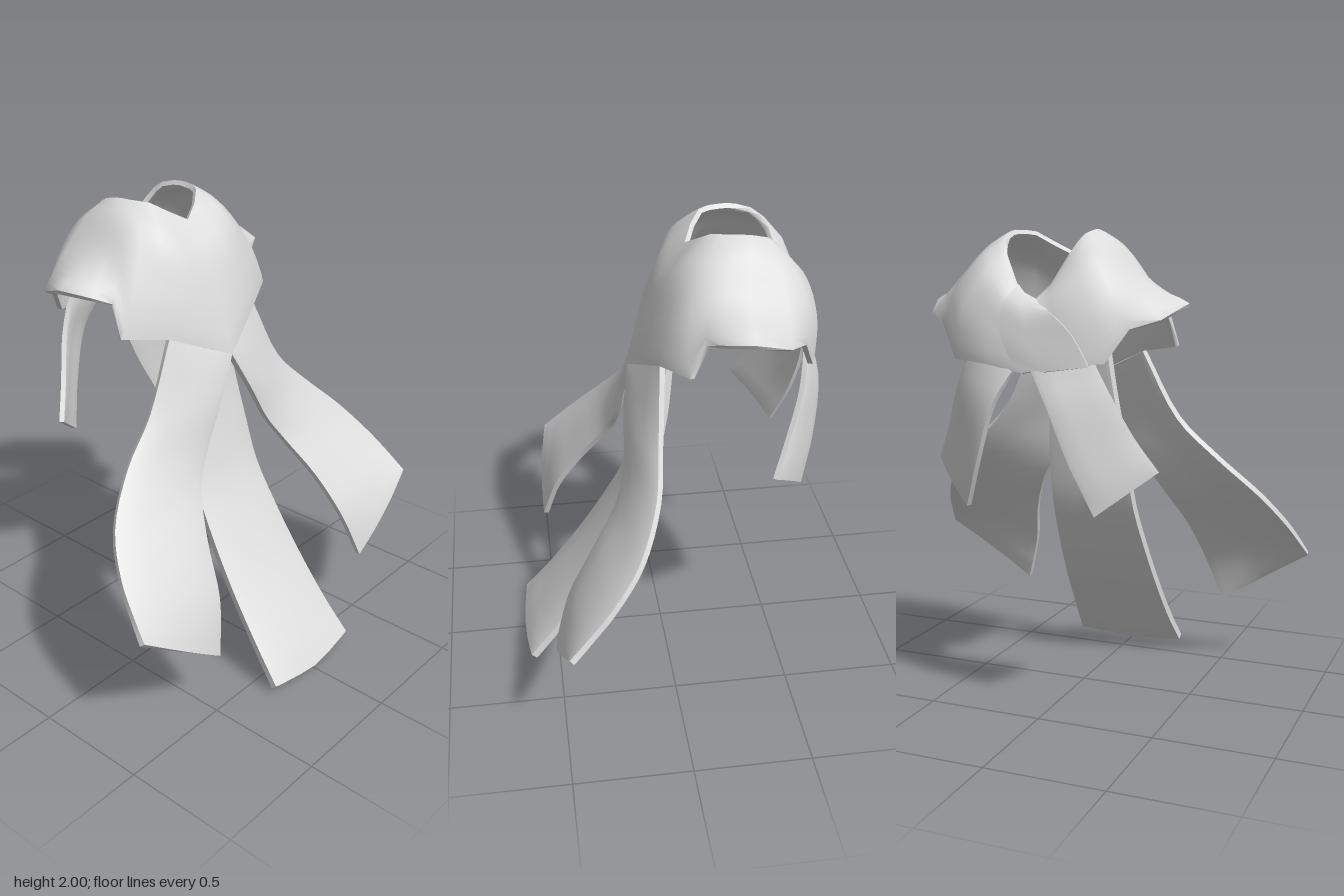
import * as THREE from 'three';
import { toCreasedNormals } from 'three/addons/utils/BufferGeometryUtils.js';

const V = (p) => new THREE.Vector3(...p);
const mirrorPoint = ([x, y, z]) => [-x, y, z];

// Resample every column of a grid of points (rows run downward) with a smooth curve.
function smoothRows(rows, count) {
  const columns = rows[0].map((_, j) =>
    new THREE.CatmullRomCurve3(rows.map((r) => V(r[j])), false, 'centripetal').getPoints(count));
  return Array.from({ length: count + 1 }, (_, i) => columns.map((c) => c[i]));
}

// Solid cloth: outer face through the grid, inner face set back, edges thinned to look rounded.
function cloth(grid, thickness, closed = false) {
  const R = grid.length, C = grid[0].length, pos = [], inner = [], index = [];
  const at = (i, j) => grid[THREE.MathUtils.clamp(i, 0, R - 1)][
    closed ? (j + C - 1) % (C - 1) : THREE.MathUtils.clamp(j, 0, C - 1)];
  for (let i = 0; i < R; i++) {
    for (let j = 0; j < C; j++) {
      const p = at(i, j);
      const n = at(i + 1, j).clone().sub(at(i - 1, j))
        .cross(at(i, j + 1).clone().sub(at(i, j - 1))).normalize();
      const onEdge = i === 0 || i === R - 1 || (!closed && (j === 0 || j === C - 1));
      const inset = onEdge ? 0.15 * thickness : 0;
      pos.push(...p.clone().addScaledVector(n, -inset));
      inner.push(...p.clone().addScaledVector(n, inset - thickness));
    }
  }
  const N = R * C, id = (i, j) => i * C + j;
  for (let i = 0; i < R - 1; i++) {
    for (let j = 0; j < C - 1; j++) {
      const a = id(i, j), b = id(i + 1, j), c = id(i + 1, j + 1), d = id(i, j + 1);
      index.push(a, b, c, a, c, d, N + a, N + c, N + b, N + a, N + d, N + c);
    }
  }
  const rim = (p, q) => index.push(q, p, N + p, q, N + p, N + q);
  for (let j = 0; j < C - 1; j++) {
    rim(id(R - 1, j), id(R - 1, j + 1));
    rim(id(0, j + 1), id(0, j));
  }
  if (!closed) {
    for (let i = 0; i < R - 1; i++) {
      rim(id(i, 0), id(i + 1, 0));
      rim(id(i + 1, C - 1), id(i, C - 1));
    }
  }
  const g = new THREE.BufferGeometry();
  g.setAttribute('position', new THREE.Float32BufferAttribute(pos.concat(inner), 3));
  g.setIndex(index);
  return toCreasedNormals(g, 1.2);
}

// Fill a row between two edge points, with the middle pushed by a small bulge in z.
const span = (a, b, bulge) => [0, 0.08, 0.3, 0.5, 0.7, 0.92, 1].map((t) => {
  const p = V(a).lerp(V(b), t);
  return [p.x, p.y, p.z + bulge * 4 * t * (1 - t)];
});
const mirrorRows = (rows) => rows.map((r) => r.map(mirrorPoint).reverse());

// Half collar from centre front to centre back; each section runs from neck to hem.
const collarSections = [
  [[0, 1.91, -0.095], [0, 1.77, 0.01], [0, 1.58, 0.085], [0, 1.38, 0.15]],
  [[0.08, 1.955, -0.13], [0.11, 1.81, -0.01], [0.13, 1.62, 0.06], [0.135, 1.44, 0.1]],
  [[0.14, 1.995, -0.175], [0.2, 1.88, -0.06], [0.24, 1.67, 0.01], [0.27, 1.5, 0.045]],
  [[0.165, 2, -0.22], [0.25, 1.91, -0.13], [0.36, 1.72, -0.06], [0.45, 1.53, -0.05]],
  [[0.175, 2, -0.26], [0.255, 1.93, -0.18], [0.36, 1.78, -0.14], [0.43, 1.66, -0.11]],
  [[0.18, 2, -0.3], [0.255, 1.945, -0.24], [0.37, 1.8, -0.2], [0.51, 1.7, -0.15]],
  [[0.18, 1.995, -0.34], [0.255, 1.945, -0.31], [0.375, 1.8, -0.29], [0.56, 1.715, -0.28]],
  [[0.17, 1.98, -0.4], [0.25, 1.925, -0.42], [0.375, 1.79, -0.44], [0.5, 1.655, -0.44]],
  [[0.155, 1.95, -0.44], [0.24, 1.89, -0.485], [0.33, 1.76, -0.525], [0.4, 1.62, -0.52]],
  [[0.13, 1.9, -0.475], [0.2, 1.82, -0.55], [0.28, 1.68, -0.585], [0.32, 1.49, -0.575]],
  [[0.07, 1.79, -0.51], [0.1, 1.73, -0.58], [0.14, 1.61, -0.61], [0.16, 1.48, -0.625]],
  [[0, 1.72, -0.53], [0, 1.66, -0.59], [0, 1.56, -0.615], [0, 1.45, -0.635]],
];

// Front strap edges: inner, outer. They start at the collar hem.
const frontStrapEdges = [
  [[0, 1.38, 0.15], [0.27, 1.5, 0.045]],
  [[0.1, 1.2, 0.175], [0.42, 1.22, 0.07]],
  [[0.2, 1.02, 0.19], [0.58, 1.06, 0.1]],
  [[0.28, 0.9, 0.225], [0.75, 0.89, 0.19]],
  [[0.37, 0.72, 0.34], [0.84, 0.75, 0.31]],
  [[0.43, 0.52, 0.46], [0.875, 0.66, 0.4]],
  [[0.5, 0.3, 0.525], [0.9, 0.575, 0.485]],
];

// Back tail edges: outer, inner.
const backTailEdges = [
  [[0.25, 1.55, -0.575], [0, 1.52, -0.61]],
  [[0.33, 1.38, -0.545], [0.11, 1.34, -0.66]],
  [[0.41, 1.2, -0.48], [0.2, 1.1, -0.635]],
  [[0.49, 1.06, -0.415], [0.28, 0.895, -0.575]],
];

// Centre tail: half width, height, depth of the front face at its edges.
const centreTail = [
  [0.13, 1.52, -0.005], [0.15, 1.35, 0.01], [0.17, 1.2, 0.03], [0.19, 1, 0.075],
  [0.2, 0.8, 0.135], [0.215, 0.6, 0.24], [0.23, 0.4, 0.365], [0.245, 0.2, 0.51], [0.26, 0.05, 0.635],
];

export function createModel() {
  const model = new THREE.Group();
  model.name = 'scarfCollar';
  const fabric = new THREE.MeshStandardMaterial({ color: 0xdcdcdc });
  fabric.name = 'pale grey fabric';
  const add = (name, geometry) => {
    const mesh = new THREE.Mesh(geometry, fabric);
    mesh.name = name;
    model.add(mesh);
  };

  // Collar: a closed ring of sections around the neck
  const otherHalf = collarSections.slice(0, -1).reverse().map((s) => s.map(mirrorPoint));
  const ring = [...collarSections, ...otherHalf];
  const levels = [0, 1, 2, 3].map((k) => ring.map((s) => s[k]));
  add('collar', cloth(smoothRows(levels, 14), 0.03, true));

  // Overlapping flap that crosses the back of the collar
  const flapRows = [
    [[0.06, 1.785, -0.518], [0.03, 1.755, -0.53], [-0.02, 1.735, -0.538]],
    [[0.09, 1.725, -0.585], [0.01, 1.68, -0.6], [-0.1, 1.69, -0.605]],
    [[0.1, 1.61, -0.618], [-0.04, 1.57, -0.63], [-0.2, 1.6, -0.617]],
    [[0.03, 1.47, -0.637], [-0.1, 1.46, -0.647], [-0.27, 1.48, -0.612]],
  ];
  add('backFlap', cloth(smoothRows(flapRows, 9), 0.025));

  // Paired front straps and back tails
  const strapRows = frontStrapEdges.map(([a, b], i) => span(a, b, i ? 0.015 : 0));
  const tailRows = backTailEdges.map(([a, b]) => span(a, b, -0.012));
  for (const [side, place] of [['left', (r) => r], ['right', mirrorRows]]) {
    add(side + 'FrontStrap', cloth(smoothRows(place(strapRows), 24), 0.035));
    add(side + 'BackTail', cloth(smoothRows(place(tailRows), 12), 0.03));
  }

  // Long centre tail with a shallow pointed end
  const centreRows = centreTail.map(([w, y, z], i) => {
    const drop = i === centreTail.length - 1 ? 0.03 : 0;
    return span([-w, y, z], [w, y, z], 0.02)
      .map(([px, py, pz]) => [px, py - drop * (1 - Math.abs(px) / w), pz]);
  });
  add('centreTail', cloth(smoothRows(centreRows, 28), 0.045));

  return model;
}
